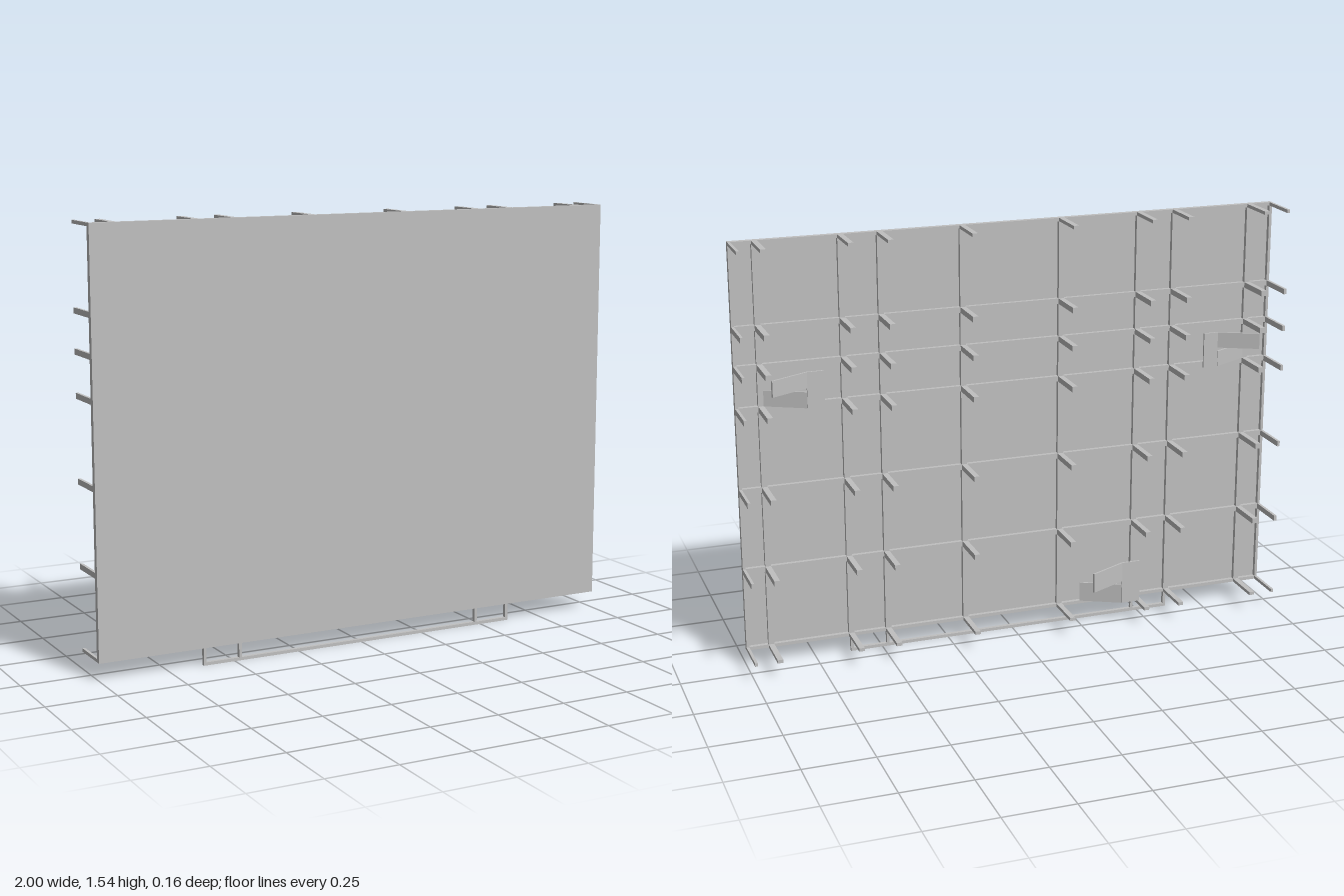
import * as THREE from 'three';

export function createModel() {
  const model = new THREE.Group();
  model.name = 'wallPanel';
  const grey = new THREE.MeshStandardMaterial({ color: 0xc0c0c0 });
  grey.name = 'light grey';

  // Box given by its lower and upper corners
  function box(name, x0, x1, y0, y1, z0, z1, parent = model) {
    const mesh = new THREE.Mesh(new THREE.BoxGeometry(x1 - x0, y1 - y0, z1 - z0), grey);
    mesh.position.set((x0 + x1) / 2, (y0 + y1) / 2, (z0 + z1) / 2);
    mesh.name = name;
    parent.add(mesh);
    return mesh;
  }

  const FRONT = 0.081, BACK = -0.081, RIB = 0.061, SKIN = 0.076;
  const BOTTOM = 0.062, TOP = 1.537;

  // Ranges covered by each rib: half-width ones run along the rim
  const columns = [[-1, -0.99], [0.99, 1]];
  for (const x of [0.183, 0.478, 0.616, 0.91]) {
    columns.push([x - 0.01, x + 0.01], [-x - 0.01, -x + 0.01]);
  }
  const rows = [[BOTTOM, BOTTOM + 0.012], [TOP - 0.012, TOP]];
  for (const y of [0.362, 0.657, 0.95, 1.099, 1.237]) rows.push([y - 0.01, y + 0.01]);

  // Front sheet with its grid of ribs
  box('frontSheet', -1, 1, BOTTOM, TOP, SKIN, FRONT);
  for (const [a, b] of columns) box('verticalRib', a, b, BOTTOM, TOP, RIB, SKIN);
  for (const [a, b] of rows) box('horizontalRib', -1, 1, a, b, RIB, SKIN);

  // A rod points backwards from every crossing
  for (const [x0, x1] of columns) {
    for (const [y0, y1] of rows) box('rod', x0, x1, y0, y1, BACK, RIB);
  }

  // Open frame below the panel
  box('lowerRail', -0.618, 0.618, 0, 0.011, 0.067, FRONT);
  for (const s of [-1, 1]) {
    for (const x of [0.479, 0.613]) {
      box('lowerPost', s * x - 0.005, s * x + 0.005, 0.011, BOTTOM, 0.067, FRONT);
    }
  }

  // Split bracket: an upright plate whose upper half bends back, lower half forward
  function bracket(name, free, fork, end, y0, y1) {
    const group = new THREE.Group();
    group.name = name;
    model.add(group);
    const mid = (y0 + y1) / 2, thick = 0.007, zMid = -0.011;
    box('stem', Math.min(free, fork), Math.max(free, fork), y0, y1,
      zMid - thick / 2, zMid + thick / 2, group);
    const arm = (armName, z, a, b) => {
      const dx = end - fork, dz = z - zMid;
      const mesh = new THREE.Mesh(new THREE.BoxGeometry(Math.hypot(dx, dz), b - a, thick), grey);
      mesh.position.set((fork + end) / 2, (a + b) / 2, (zMid + z) / 2);
      mesh.rotation.y = -Math.atan2(dz, dx);
      mesh.name = armName;
      group.add(mesh);
    };
    arm('upperArm', -0.079, mid + 0.007, y1);
    arm('lowerArm', 0.061, y0, mid - 0.007);
  }
  bracket('leftBracket', 0.705, 0.765, 0.9, 0.96, 1.088);
  bracket('rightBracket', -0.71, -0.765, -0.9, 0.96, 1.088);
  bracket('bottomBracket', -0.475, -0.405, -0.265, 0.075, 0.235);

  return model;
}
